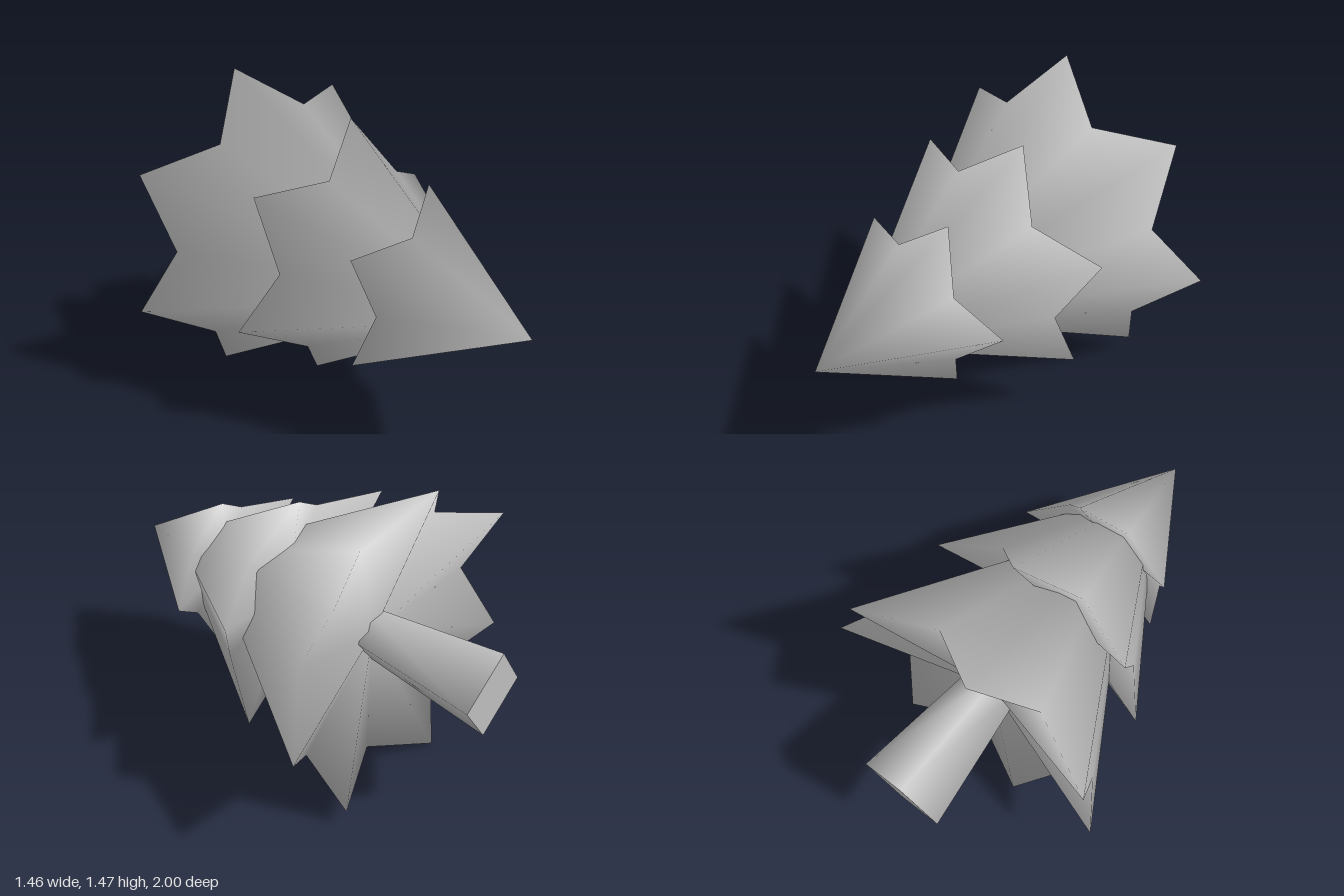
import * as THREE from 'three';

const grey = new THREE.MeshStandardMaterial({ color: 0xc0c0c0 });
grey.name = 'plain grey';

// Smooth normals: plain average of the unit normals of the faces around each vertex
function smoothNormals(geo) {
  const pos = geo.attributes.position, idx = geo.index;
  const sums = Array.from({ length: pos.count }, () => new THREE.Vector3());
  const tri = new THREE.Triangle(), n = new THREE.Vector3();
  for (let f = 0; f < idx.count; f += 3) {
    const ids = [idx.getX(f), idx.getX(f + 1), idx.getX(f + 2)];
    tri.setFromAttributeAndIndices(pos, ...ids);
    tri.getNormal(n);
    ids.forEach(i => sums[i].add(n));
  }
  const flat = sums.flatMap(v => v.normalize().toArray());
  geo.setAttribute('normal', new THREE.Float32BufferAttribute(flat, 3));
}

// A star-rimmed cone: rim points alternate tip, notch, clockwise from the front
function makeTier({ name, apexY, apexZ, tipZ, notchZ, baseZ, rim }) {
  const points = [-0.01, apexY, apexZ, -0.01, apexY, baseZ];
  rim.forEach(([x, y], i) => points.push(x, y, i % 2 ? notchZ : tipZ));
  const faces = [], n = rim.length;
  for (let i = 0; i < n; i++) {
    const a = 2 + i, b = 2 + (i + 1) % n;
    faces.push(0, b, a, 1, a, b);
  }
  const geo = new THREE.BufferGeometry();
  geo.setAttribute('position', new THREE.Float32BufferAttribute(points, 3));
  geo.setIndex(faces);
  smoothNormals(geo);
  const mesh = new THREE.Mesh(geo, grey);
  mesh.name = name;
  return mesh;
}

const tiers = [
  {
    name: 'topBranches', apexY: 0.695, apexZ: 1, tipZ: 0.365, notchZ: 0.455, baseZ: 0.49,
    rim: [[0.105, 1.125], [0.22, 0.875], [0.41, 0.705], [0.22, 0.54], [0.13, 0.3],
      [-0.1, 0.42], [-0.355, 0.445], [-0.31, 0.7], [-0.365, 0.945], [-0.1, 0.98]],
  },
  {
    name: 'middleBranches', apexY: 0.71, apexZ: 0.83, tipZ: -0.08, notchZ: 0.045, baseZ: 0.08,
    rim: [[0.1, 1.305], [0.27, 1.04], [0.55, 0.905], [0.415, 0.63], [0.44, 0.315], [0.13, 0.29],
      [-0.13, 0.12], [-0.305, 0.37], [-0.59, 0.52], [-0.455, 0.795], [-0.47, 1.11], [-0.16, 1.125]],
  },
  {
    name: 'lowerBranches', apexY: 0.72, apexZ: 0.61, tipZ: -0.6, notchZ: -0.45, baseZ: -0.4,
    rim: [[-0.11, 1.465], [0.17, 1.265], [0.51, 1.25], [0.535, 0.9], [0.73, 0.635], [0.48, 0.4],
      [0.385, 0.08], [0.05, 0.12], [-0.27, 0], [-0.435, 0.29], [-0.73, 0.465], [-0.61, 0.78],
      [-0.66, 1.115], [-0.335, 1.205]],
  },
];

export function createModel() {
  const tree = new THREE.Group();
  tree.name = 'lyingTree';
  tiers.forEach(t => tree.add(makeTier(t)));

  // Four-sided trunk, flaring towards its foot at the back
  const trunkGeo = new THREE.CylinderGeometry(0.11, 0.198, 0.7, 4);
  trunkGeo.rotateX(Math.PI / 2);
  trunkGeo.rotateZ(0.17);
  const trunk = new THREE.Mesh(trunkGeo, grey);
  trunk.name = 'trunk';
  trunk.position.set(-0.015, 0.725, -0.65);
  tree.add(trunk);
  return tree;
}
